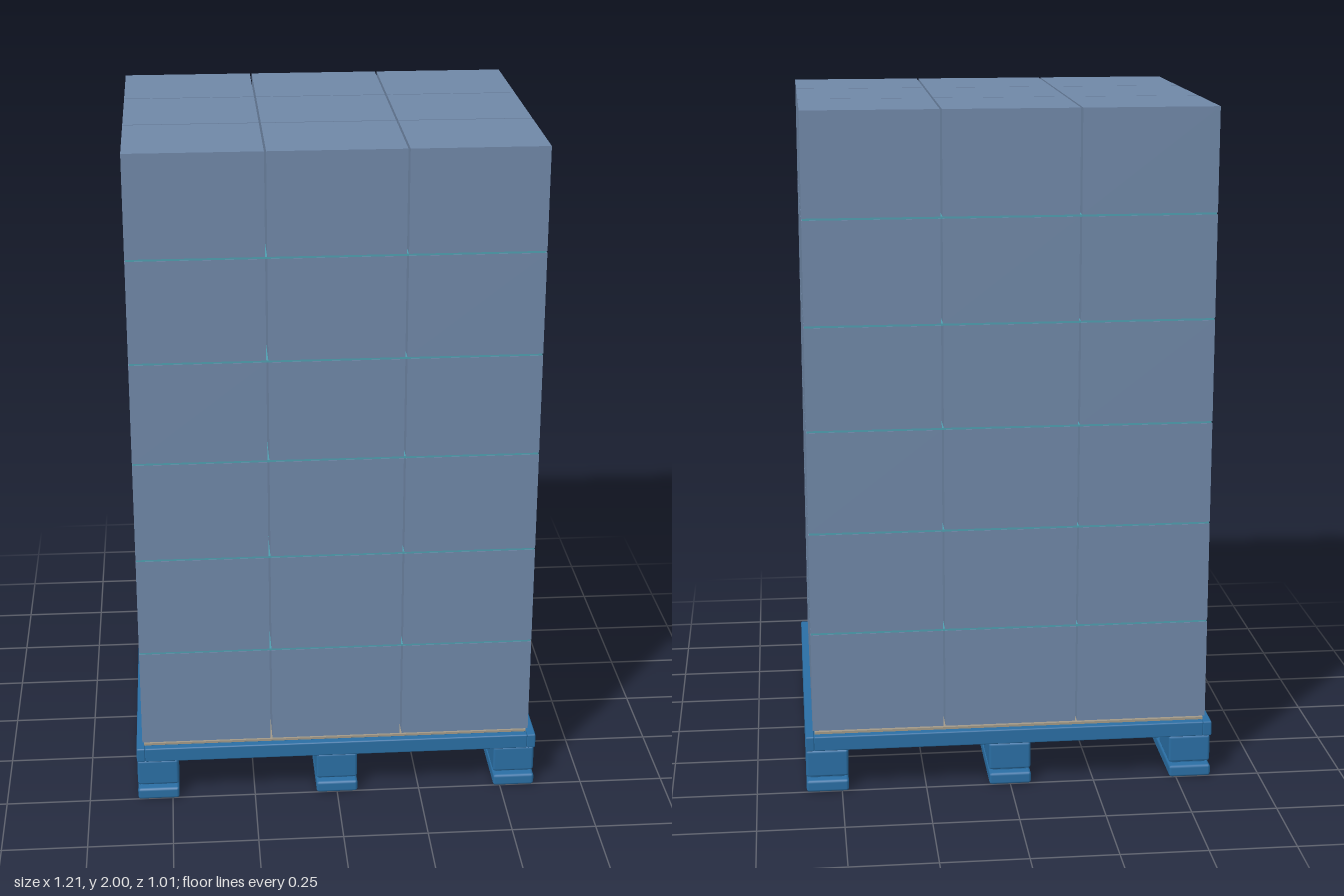
import * as THREE from 'three';
import { RoundedBoxGeometry } from 'three/addons/geometries/RoundedBoxGeometry.js';

export function createModel() {
  const model = new THREE.Group();
  const blue = new THREE.MeshStandardMaterial({ color: 0x2a6fa5 });
  const carton = new THREE.MeshStandardMaterial({ color: 0x7088a8 });
  const teal = new THREE.MeshStandardMaterial({ color: 0x4f9fb0 });
  const tan = new THREE.MeshStandardMaterial({ color: 0xa39a88 });

  // Adds a box given its size and centre; a radius softens its edges
  function box(parent, name, material, [w, h, d], [x, y, z], radius = 0) {
    const geometry = radius
      ? new RoundedBoxGeometry(w, h, d, 1, radius)
      : new THREE.BoxGeometry(w, h, d);
    const mesh = new THREE.Mesh(geometry, material);
    mesh.name = name;
    mesh.position.set(x, y, z);
    parent.add(mesh);
  }

  const pallet = new THREE.Group();
  pallet.name = 'pallet';
  model.add(pallet);

  // Three runners front to back, each carrying three blocks
  for (const x of [-0.542, 0, 0.542]) {
    box(pallet, 'runner', blue, [0.125, 0.036, 1.01], [x, 0.018, 0], 0.008);
    for (const z of [-0.41, 0, 0.41]) {
      box(pallet, 'block', blue, [0.125, 0.084, 0.16], [x, 0.083, z], 0.008);
      // narrow neck and cap tie the block to runner and deck
      box(pallet, 'blockCore', blue, [0.1, 0.11, 0.135], [x, 0.085, z]);
    }
  }

  // Deck rim
  for (const s of [-1, 1]) {
    box(pallet, 'sideRim', blue, [0.026, 0.045, 1.01], [s * 0.592, 0.152, 0], 0.004);
    box(pallet, 'endRim', blue, [1.16, 0.045, 0.026], [0, 0.152, s * 0.492], 0.004);
  }

  // Deck slats across the width
  const slats = 9;
  for (let i = 0; i < slats; i++) {
    const z = -0.435 + (0.87 * i) / (slats - 1);
    box(pallet, 'deckSlat', blue, [1.16, 0.036, 0.075], [0, 0.15, z]);
  }

  // Stacked cartons: six layers of three by three with thin sheets between
  const load = new THREE.Group();
  load.name = 'cartonStack';
  model.add(load);
  const base = 0.18, layer = (2 - base) / 6, px = 0.392, pz = 0.3245, gap = 0.006;
  box(load, 'baseSheet', tan, [1.16, 0.012, 0.96], [-0.002, 0.174, 0]);
  for (let j = 0; j < 6; j++) {
    const y = base + j * layer;
    if (j > 0) box(load, 'layerSheet', teal, [1.166, 0.007, 0.964], [-0.002, y + 0.0025, 0]);
    for (let i = -1; i <= 1; i++) {
      for (let k = -1; k <= 1; k++) {
        box(load, 'carton', carton, [px - gap, layer - gap, pz - gap],
          [-0.002 + i * px, y + (layer + gap) / 2, k * pz]);
      }
    }
  }

  return model;
}
